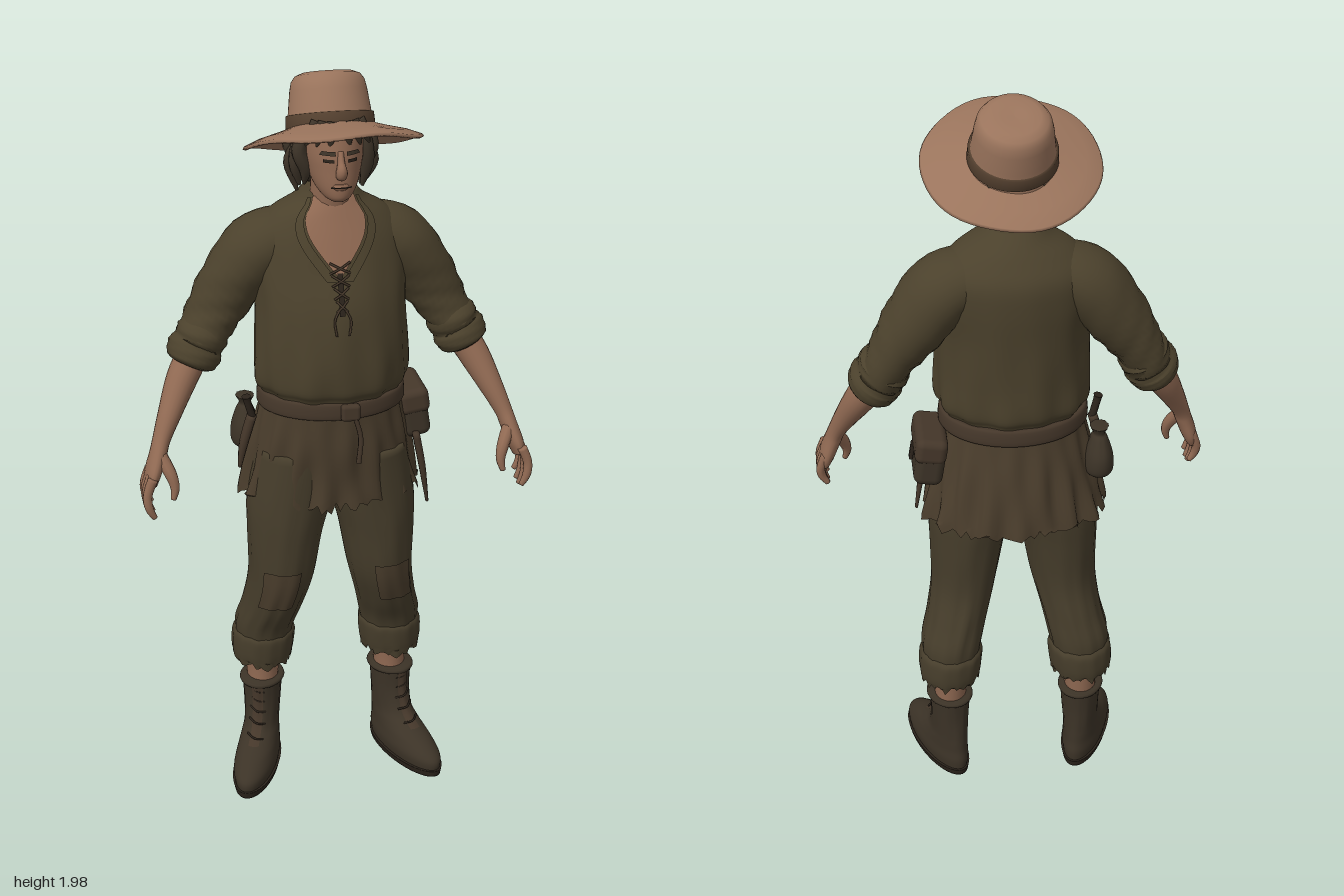
import * as THREE from 'three';
import { RoundedBoxGeometry } from 'three/addons/geometries/RoundedBoxGeometry.js';

const V = (x, y, z) => new THREE.Vector3(x, y, z);
const mat = (name, color, side = THREE.FrontSide) => {
  const m = new THREE.MeshStandardMaterial({ color, side });
  m.name = name;
  return m;
};

// Smooth surface over a grid of points; closed columns wrap round
function grid(R, C, fn, closed = true) {
  const pos = [], idx = [], W = closed ? C : C + 1;
  for (let r = 0; r < R; r++) for (let c = 0; c < W; c++) pos.push(...fn(r, c).toArray());
  for (let r = 0; r < R - 1; r++) for (let c = 0; c < C; c++) {
    const n = (c + 1) % W, a = r * W + c, b = r * W + n;
    idx.push(a, b, b + W, a, b + W, a + W);
  }
  const g = new THREE.BufferGeometry();
  g.setAttribute('position', new THREE.Float32BufferAttribute(pos, 3));
  g.setIndex(idx);
  g.computeVertexNormals();
  return g;
}

// Catmull-Rom refinement of a list of rows; a missing sixth number (fold) is 0
function dense(list, n = 5) {
  const rows = list.map(r => [...r, 0].slice(0, 6));
  const out = [], at = i => rows[Math.max(0, Math.min(rows.length - 1, i))];
  for (let i = 0; i < rows.length - 1; i++) for (let k = 0; k < n; k++) {
    const t = k / n;
    out.push(rows[i].map((b, j) => {
      const a = at(i - 1)[j], c = at(i + 1)[j], d = at(i + 2)[j];
      return b + 0.5 * t * (c - a + t * (2 * a - 5 * b + 4 * c - d + t * (3 * (b - c) + d - a)));
    }));
  }
  out.push(rows.at(-1));
  return out;
}

// Level rings, rising: [y, x, z, halfWidth, halfDepth, fold]
function ringPoint([y, x, z, rx, rz, fold], a, off = 0, k = 13) {
  const f = 1 + fold * (Math.sin(k * a + y * 6) + 0.6 * Math.sin((k - 6) * a - y * 17));
  return V(x + Math.sin(a) * (rx * f + off), y, z + Math.cos(a) * (rz * f + off));
}
function loft(rows, { cap = true, segs = 72, k = 13, n = 5 } = {}) {
  const d = dense(rows, n), flat = r => [r[0], r[1], r[2], 0, 0, 0];
  const all = cap ? [flat(d[0]), ...d, flat(d.at(-1))] : d;
  return grid(all.length, segs, (r, c) => ringPoint(all[r], c / segs * Math.PI * 2, 0, k));
}
// Thin piece lying on a loft between two heights and a pair of angles
function patch(rows, y0, y1, span, off = 0.004, R = 12, C = 12) {
  const d = dense(rows);
  return grid(R + 1, C, (r, c) => {
    const t = r / R, y = y0 + (y1 - y0) * t, [a, b] = span(t);
    const i = Math.max(1, d.findIndex(q => q[0] >= y)), p = d[i - 1], q = d[i];
    const s = (y - p[0]) / (q[0] - p[0]);
    return ringPoint(p.map((v, j) => v + (q[j] - v) * s), a + (b - a) * c / C, off);
  }, false);
}
// Rings square to a path: [x, y, z, radiusAcross, radiusInDepth, fold]
function limb(pts, segs = 20, n = 5) {
  const d = dense(pts, n), P = d.map(p => V(p[0], p[1], p[2])), L = d.length;
  const all = [0, ...d.keys(), L - 1];
  return grid(all.length, segs, (r, c) => {
    const i = all[r], p = d[i], a = c / segs * Math.PI * 2;
    const T = P[Math.min(L - 1, i + 1)].clone().sub(P[Math.max(0, i - 1)]).normalize();
    const U = V(0, 0, 1).addScaledVector(T, -T.z).normalize(), W = T.clone().cross(U);
    const f = r === 0 || r === all.length - 1 ? 0 : 1 + p[5] * Math.sin(3 * a + i * 1.1) * Math.cos(a + i * 0.7);
    return P[i].clone().addScaledVector(W, Math.sin(a) * p[3] * f).addScaledVector(U, Math.cos(a) * p[4] * f);
  });
}
const cord = (pts, r = 0.004) => new THREE.TubeGeometry(new THREE.CatmullRomCurve3(pts.map(p => V(...p))), 12, r, 6);

// Uneven hem below a height
function ragged(g, limit, amount) {
  const p = g.attributes.position;
  let seed = 7;
  for (let i = 0; i < p.count; i++) if (p.getY(i) < limit) {
    seed = (seed * 16807) % 2147483647;
    p.setY(i, p.getY(i) + amount * (seed / 2147483647 - 0.5));
  }
  g.computeVertexNormals();
  return g;
}
function mirrored(g) {
  const m = g.clone().scale(-1, 1, 1), a = m.index.array;
  for (let i = 0; i < a.length; i += 3) [a[i], a[i + 1]] = [a[i + 1], a[i]];
  return m;
}

export function createModel() {
  const model = new THREE.Group();
  const tunic = mat('tunic cloth', 0x4b412c), skirtM = mat('skirt cloth', 0x4a3d2c, THREE.DoubleSide);
  const trouser = mat('trouser cloth', 0x463d2b, THREE.DoubleSide), skin = mat('skin', 0x916a53);
  const straw = mat('hat straw', 0x9a745c), band = mat('hat band', 0x54402f), hairM = mat('hair', 0x40362a);
  const leather = mat('boot leather', 0x3c3327), strap = mat('belt leather', 0x45372a), dark = mat('dark trim', 0x2b231b);
  const add = (name, g, m, parent = model) => {
    const mesh = new THREE.Mesh(g, m);
    mesh.name = name;
    parent.add(mesh);
    return mesh;
  };
  const pair = (name, g, m) => { add(name + 'Left', g, m); add(name + 'Right', mirrored(g), m); };

  // Tunic body, bloused over the belt
  const body = [
    [1.13, 0, -0.015, 0.165, 0.14, 0.01], [1.165, 0, -0.015, 0.182, 0.15, 0.02], [1.195, 0, -0.015, 0.198, 0.163, 0.022],
    [1.28, 0, -0.015, 0.197, 0.165, 0.014], [1.4, 0, -0.025, 0.193, 0.16, 0.008], [1.5, 0, -0.045, 0.2, 0.145, 0.005],
    [1.57, 0, -0.055, 0.192, 0.13, 0.003], [1.62, 0, -0.05, 0.15, 0.106], [1.655, 0, -0.042, 0.093, 0.085], [1.68, 0, -0.035, 0.07, 0.065]];
  add('tunicBody', loft(body), tunic);
  // Open neckline with collar edges and lacing
  const vee = t => 0.02 + 0.7 * t;
  add('openNeckline', patch(body, 1.49, 1.675, t => [-vee(t), vee(t)]), skin);
  pair('collarEdge', patch(body, 1.48, 1.672, t => [vee(t), vee(t) + 0.14], 0.008), tunic);
  add('neckSlit', patch(body, 1.4, 1.5, () => [-0.035, 0.035], 0.005), dark);
  for (let i = 0; i < 4; i++) {
    const y = 1.41 + i * 0.03, z = 0.137 - i * 0.01, w = 0.014 + i * 0.004;
    pair('tunicLace', cord([[-w, y, z], [0, y + 0.014, z + 0.003], [w, y + 0.027, z - 0.006]], 0.003), strap);
  }
  pair('laceEnd', cord([[0.005, 1.42, 0.137], [0.02, 1.39, 0.143], [0.016, 1.35, 0.148]], 0.003), strap);

  // Sleeves, rolled cuffs and bare forearms
  pair('sleeve', limb([[0.1, 1.56, -0.06, 0.07, 0.09, 0], [0.18, 1.52, -0.065, 0.088, 0.1, 0.02], [0.25, 1.43, -0.068, 0.079, 0.09, 0.06],
    [0.3, 1.35, -0.062, 0.066, 0.078, 0.1], [0.34, 1.28, -0.05, 0.062, 0.072, 0.1]], 28), tunic);
  pair('sleeveCuff', limb([[0.315, 1.325, -0.056, 0.058, 0.068, 0], [0.325, 1.305, -0.052, 0.069, 0.078, 0.04], [0.337, 1.283, -0.05, 0.064, 0.073, 0.03],
    [0.347, 1.265, -0.046, 0.071, 0.079, 0.04], [0.36, 1.24, -0.042, 0.066, 0.073, 0.03], [0.365, 1.23, -0.04, 0.052, 0.058, 0]], 28), tunic);
  pair('forearm', limb([[0.34, 1.275, -0.05, 0.042, 0.046], [0.385, 1.2, -0.02, 0.04, 0.044], [0.425, 1.12, 0.02, 0.03, 0.035],
    [0.45, 1.065, 0.045, 0.023, 0.03], [0.462, 1.03, 0.058, 0.022, 0.036], [0.478, 0.985, 0.07, 0.021, 0.046], [0.486, 0.955, 0.078, 0.015, 0.042]]), skin);
  for (let i = 0; i < 4; i++) {
    const z = 0.042 + i * 0.025, e = [0.02, 0.004, 0, 0.008][i];
    pair('finger', limb([[0.484, 0.985, z, 0.013, 0.013], [0.499, 0.945, z + 0.004, 0.012, 0.012],
      [0.497, 0.905 + e * 0.6, z + 0.008, 0.011, 0.011], [0.483, 0.873 + e, z + 0.008, 0.007, 0.007]], 10), skin);
  }
  pair('thumb', limb([[0.458, 1.03, 0.075, 0.018, 0.018], [0.437, 0.99, 0.1, 0.016, 0.017], [0.428, 0.955, 0.112, 0.012, 0.012], [0.434, 0.925, 0.118, 0.007, 0.008]], 10), skin);

  // Belt, pleated skirt of the tunic
  const skirt = [[0.86, 0, -0.045, 0.238, 0.168, 0.045], [0.93, 0, -0.04, 0.222, 0.162, 0.035], [1.02, 0, -0.028, 0.205, 0.158, 0.025],
    [1.1, 0, -0.02, 0.188, 0.15, 0.012], [1.16, 0, -0.015, 0.175, 0.145, 0]];
  add('tunicSkirt', ragged(loft(skirt, { cap: false, segs: 120, k: 19 }), 0.862, 0.035), skirtM);
  add('belt', loft([[1.115, 0, -0.018, 0.186, 0.152], [1.122, 0, -0.018, 0.193, 0.159], [1.155, 0, -0.018, 0.191, 0.157], [1.162, 0, -0.018, 0.184, 0.15]], { n: 3 }), strap);
  add('beltKnot', new RoundedBoxGeometry(0.05, 0.045, 0.025, 2, 0.01), strap).position.set(0.02, 1.14, 0.145);
  add('beltEnd', cord([[0.03, 1.13, 0.15], [0.045, 1.07, 0.15], [0.04, 1.0, 0.152]], 0.007), strap);

  // Satchel on the left hip with a hanging sheath
  const satchel = new THREE.Group();
  satchel.name = 'satchel';
  add('satchelBody', new RoundedBoxGeometry(0.075, 0.13, 0.16, 3, 0.022), leather, satchel);
  add('satchelFlap', new RoundedBoxGeometry(0.082, 0.07, 0.168, 3, 0.02), strap, satchel).position.set(0.003, 0.036, 0);
  add('satchelClasp', new RoundedBoxGeometry(0.01, 0.05, 0.022, 2, 0.004), dark, satchel).position.set(0.043, -0.005, 0);
  satchel.position.set(0.222, 1.055, -0.065);
  satchel.rotation.z = 0.16;
  model.add(satchel);
  add('hangingSheath', limb([[0.215, 1.02, 0.045, 0.01, 0.014], [0.235, 0.92, 0.04, 0.009, 0.013], [0.253, 0.81, 0.03, 0.004, 0.006]], 10), strap);
  // Round pouch and small knife on the right hip
  const pouch = add('roundPouch', loft([[0.965, 0, 0, 0.02, 0.025], [0.985, 0, 0, 0.038, 0.05], [1.03, 0, 0, 0.036, 0.052, 0.01],
    [1.075, 0, 0, 0.022, 0.03, 0.03], [1.09, 0, 0, 0.015, 0.02], [1.11, 0, 0, 0.024, 0.028, 0.05]], { segs: 32 }), leather);
  pouch.position.set(-0.215, 0, -0.085);
  add('knifeSheath', limb([[-0.21, 1.09, 0.0, 0.013, 0.018], [-0.232, 1.01, -0.005, 0.012, 0.017], [-0.243, 0.94, -0.01, 0.005, 0.008]], 10), strap);
  add('knifeHandle', limb([[-0.208, 1.08, 0, 0.01, 0.012], [-0.222, 1.13, 0.005, 0.01, 0.013], [-0.225, 1.145, 0.006, 0.012, 0.015]], 10), dark);

  // Trousers with turned-up cuffs and knee patches
  const leg = [[0.36, 0.178, -0.078, 0.07, 0.08, 0], [0.44, 0.174, -0.072, 0.081, 0.092, 0.02], [0.52, 0.155, -0.045, 0.081, 0.103, 0.022],
    [0.62, 0.135, -0.02, 0.087, 0.11, 0.014], [0.75, 0.124, -0.018, 0.1, 0.119, 0.01], [0.85, 0.11, -0.02, 0.113, 0.125, 0.008], [1.0, 0.085, -0.02, 0.115, 0.13, 0]];
  pair('trouserLeg', loft(leg, { segs: 48 }), trouser);
  pair('kneePatch', patch(leg, 0.54, 0.66, () => [-0.35, 0.75], 0.005), skirtM);
  pair('trouserCuff', ragged(loft([[0.33, 0.181, -0.08, 0.08, 0.09, 0.02], [0.36, 0.18, -0.08, 0.085, 0.095, 0.01], [0.405, 0.177, -0.078, 0.085, 0.096, 0.015],
    [0.42, 0.176, -0.077, 0.076, 0.087, 0]], { cap: false, segs: 48 }), 0.336, 0.03), trouser);
  pair('shin', loft([[0.22, 0.182, -0.08, 0.042, 0.048], [0.3, 0.18, -0.083, 0.045, 0.052], [0.4, 0.178, -0.08, 0.055, 0.062]], { segs: 24 }), skin);

  // Boots, turned outward, with soles and lacing
  const place = g => g.rotateY(0.37).translate(0.183, 0, -0.078);
  const boot = [[0.012, 0, 0.084, 0.053, 0.152], [0.045, 0, 0.082, 0.058, 0.153], [0.075, 0, 0.062, 0.054, 0.128], [0.1, 0, 0.034, 0.05, 0.098],
    [0.13, 0, 0.012, 0.047, 0.074, 0.01], [0.19, 0, 0.002, 0.05, 0.063, 0.015], [0.262, 0, 0, 0.055, 0.066, 0.01]];
  pair('boot', place(loft(boot, { segs: 40 })), leather);
  pair('bootSole', place(loft([[0, 0, 0.084, 0.056, 0.155], [0.02, 0, 0.084, 0.061, 0.158]], { segs: 40 })), dark);
  pair('bootTop', place(new THREE.TorusGeometry(0.058, 0.007, 8, 32).rotateX(Math.PI / 2).scale(0.95, 1, 1.12).translate(0, 0.255, 0)), leather);
  pair('bootTongue', place(patch(boot, 0.1, 0.25, () => [-0.28, 0.28], 0.003)), strap);
  for (let i = 0; i < 5; i++) {
    const y = 0.11 + i * 0.03, z = [0.118, 0.088, 0.074, 0.067, 0.067][i];
    pair('bootLace', place(cord([[-0.022, y, z - 0.012], [0, y + 0.007, z], [0.022, y + 0.015, z - 0.014]], 0.003)), dark);
  }

  // Neck, head and face
  add('neck', limb([[0, 1.56, -0.03, 0.06, 0.06], [0, 1.65, -0.01, 0.054, 0.056], [0, 1.76, 0.005, 0.052, 0.058]]), skin);
  const head = [[1.683, 0, 0.075, 0.02, 0.028], [1.694, 0, 0.062, 0.037, 0.052], [1.72, 0, 0.04, 0.055, 0.077], [1.76, 0, 0.02, 0.068, 0.096],
    [1.8, 0, 0.01, 0.074, 0.104], [1.87, 0, -0.005, 0.075, 0.105]];
  add('head', loft(head, { segs: 40 }), skin);
  add('nose', limb([[0, 1.81, 0.106, 0.008, 0.01], [0, 1.785, 0.116, 0.009, 0.014], [0, 1.765, 0.124, 0.014, 0.02], [0, 1.752, 0.116, 0.013, 0.014]], 14), skin);
  add('lips', loft([[1.716, 0, 0.106, 0.016, 0.012], [1.724, 0, 0.108, 0.021, 0.014], [1.732, 0, 0.107, 0.018, 0.012]], { segs: 20 }), skin);
  add('mouth', patch(head, 1.7235, 1.727, () => [-0.4, 0.4], 0.009), dark);
  pair('eye', patch(head, 1.785, 1.793, () => [0.22, 0.58], 0.003), dark);
  pair('eyebrow', patch(head, 1.803, 1.813, t => [0.17, 0.68 - 0.1 * t], 0.006), hairM);

  // Wavy hair round the sides and back
  add('hairBack', loft([[1.7, 0, -0.045, 0.06, 0.05, 0.04], [1.74, 0, -0.032, 0.083, 0.072, 0.04], [1.8, 0, -0.028, 0.088, 0.078, 0.03], [1.86, 0, -0.025, 0.085, 0.08, 0]], { segs: 60 }), hairM);
  for (let i = 0; i <= 16; i++) {
    const a = 1.05 + i / 16 * (Math.PI * 2 - 2.1), s = Math.sin(a), c = Math.cos(a), w = 0.012 * Math.sin(i * 2.3);
    const y = 1.715 + 0.015 * Math.sin(i * 1.7);
    add('hairLock', limb([[s * 0.078, 1.86, c * 0.085 - 0.01, 0.014, 0.014], [s * 0.09 + w, 1.8, c * 0.09 - 0.01, 0.019, 0.019],
      [s * 0.093 - w, 1.75, c * 0.088 - 0.015, 0.017, 0.017], [s * 0.084, y - 0.02, c * 0.075 - 0.018, 0.004, 0.004]], 10), hairM);
  }
  for (const x of [0.02, 0.045, 0.065]) pair('fringe', limb([[x * 0.8, 1.88, 0.1 - x * 0.4, 0.014, 0.01],
    [x, 1.85, 0.112 - x * 0.5, 0.013, 0.01], [x * 1.2, 1.82, 0.111 - x * 0.6, 0.003, 0.003]], 8), hairM);

  // Wide hat, tipped back
  const hat = new THREE.Group();
  hat.name = 'hat';
  const lathe = pts => new THREE.LatheGeometry(pts.map(p => new THREE.Vector2(...p)), 56);
  const brim = lathe([[0.075, 0.012], [0.13, 0.002], [0.18, -0.01], [0.215, -0.025], [0.221, -0.022], [0.217, -0.016], [0.18, -0.001], [0.13, 0.012], [0.09, 0.024]]);
  const bp = brim.attributes.position;
  for (let i = 0; i < bp.count; i++) {
    const x = bp.getX(i), z = bp.getZ(i), r = Math.hypot(x, z) / 0.22;
    bp.setY(i, bp.getY(i) + 0.004 * r * r * Math.sin(Math.atan2(x, z) * 5));
  }
  add('hatBrim', brim.scale(1, 1, 1.05), straw, hat);
  const crown = add('hatCrown', lathe([[0.112, 0.005], [0.106, 0.02], [0.101, 0.06], [0.095, 0.105], [0.09, 0.128], [0.08, 0.142], [0.062, 0.149], [0.03, 0.15], [0, 0.148]]), straw, hat);
  const ribbon = add('hatBand', lathe([[0.104, 0.016], [0.11, 0.018], [0.108, 0.048], [0.101, 0.05]]), band, hat);
  for (const m of [crown, ribbon]) { m.position.z = -0.022; m.scale.z = 1.06; }
  hat.position.set(0, 1.828, 0.01);
  hat.rotation.x = -0.33;
  model.add(hat);
  return model;
}
